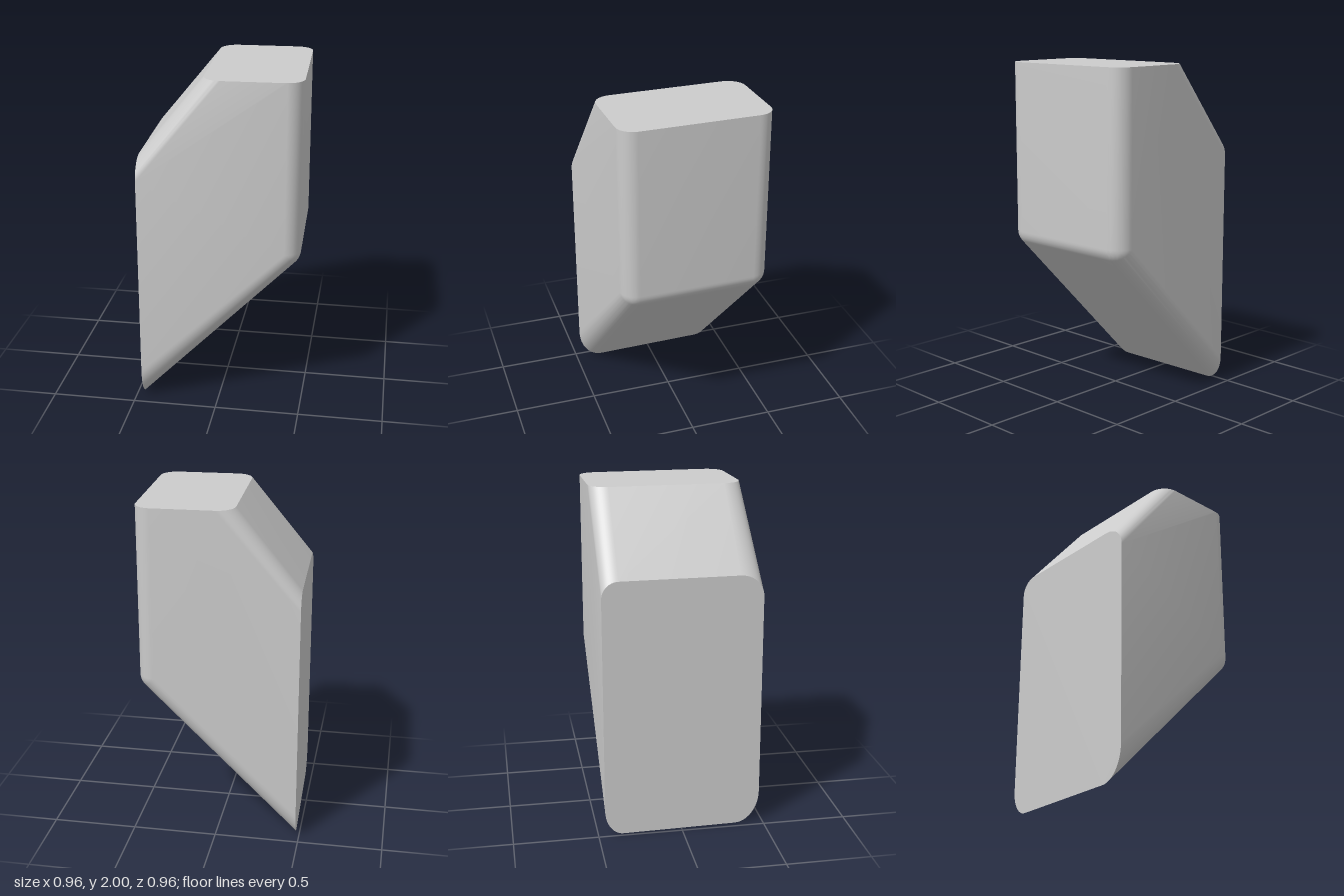
import * as THREE from 'three';
import { ConvexGeometry } from 'three/addons/geometries/ConvexGeometry.js';
import { toCreasedNormals } from 'three/addons/utils/BufferGeometryUtils.js';

const STEPS = 12;

// Quarter arc from axis direction su to sv, passed to a point builder
function quarter(cu, cv, ru, rv, build) {
  const points = [];
  for (let i = 0; i <= STEPS; i++) {
    const a = (i / STEPS) * Math.PI / 2;
    points.push(build(cu + ru * Math.cos(a), cv + rv * Math.sin(a)));
  }
  return points;
}

export function createModel() {
  const grey = new THREE.MeshStandardMaterial({ color: 0xcccccc });
  grey.name = 'light grey';
  const points = [];

  // Upright end face on the right-hand side, slightly turned about y
  const onSide = (z, y) => new THREE.Vector3(-0.468 + 0.0267 * z, y, z);
  for (const [z, y, rz, ry] of [
    [0.33, 0.2, 0.147, -0.2], [-0.35, 0.15, -0.108, -0.15],
    [0.34, 1.41, 0.137, 0.13], [-0.36, 1.44, -0.098, 0.1],
  ]) points.push(...quarter(z, y, rz, ry, onSide));

  // Level rounded top face
  const onTop = (x, z) => new THREE.Vector3(x, 2, z);
  for (const [x, z, rx, rz] of [
    [0.378, 0.317, 0.1, 0.1], [0.36, -0.38, 0.1, -0.1],
    [0.0, -0.363, -0.102, -0.108], [0.023, 0.32, -0.108, 0.108],
  ]) points.push(...quarter(x, z, rx, rz, onTop));

  // Rounded outer elbow: lower eighths of two balls
  for (const [x, z, s] of [[0.378, 0.317, 1], [0.36, -0.38, -1]]) {
    for (let j = 0; j < STEPS; j++) {
      const lat = (j / STEPS) * Math.PI / 2;
      const r = 0.1 * Math.cos(lat);
      const y = 0.99 - 0.1 * Math.sin(lat);
      points.push(...quarter(x, z, r, s * r, (px, pz) => new THREE.Vector3(px, y, pz)));
    }
  }

  const body = new THREE.Mesh(toCreasedNormals(new ConvexGeometry(points), 0.45), grey);
  body.name = 'elbowBody';
  const group = new THREE.Group();
  group.name = 'roundedElbowBlock';
  group.add(body);
  return group;
}
